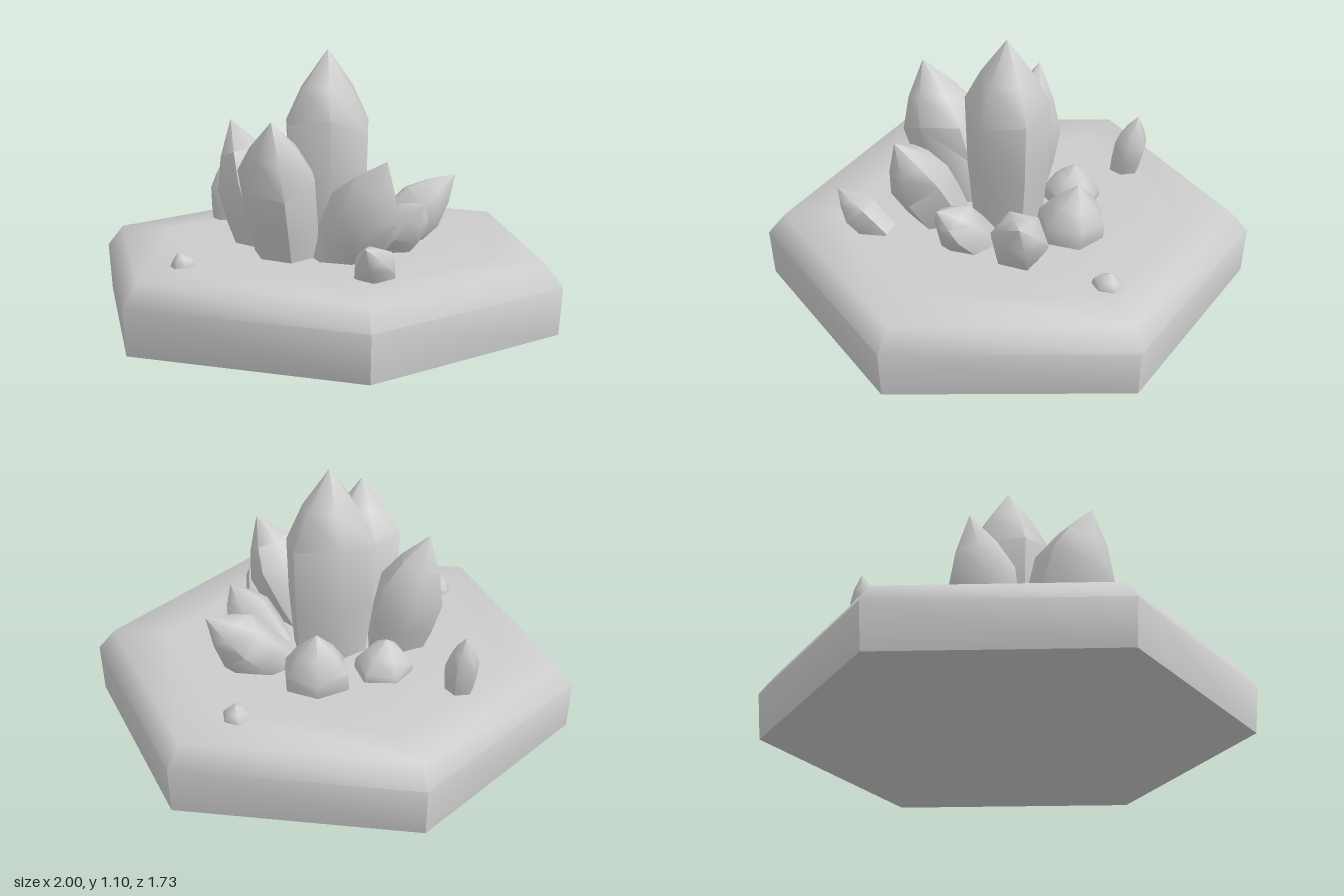
import * as THREE from 'three';
import { toCreasedNormals } from 'three/addons/utils/BufferGeometryUtils.js';

const GROUND = 0.27; // crystals start slightly under the slab's top

export function createModel() {
  const group = new THREE.Group();
  const material = new THREE.MeshStandardMaterial({ color: 0xcccccc });

  let seed = 7;
  const random = () => {
    seed = (seed * 16807) % 2147483647;
    return seed / 2147483647;
  };
  const jitter = (amount) => 1 + (random() - 0.5) * 2 * amount;

  function add(name, geometry) {
    const mesh = new THREE.Mesh(geometry, material);
    mesh.name = name;
    group.add(mesh);
    return mesh;
  }
  const profile = (pairs) => pairs.map(([r, y]) => new THREE.Vector2(r, y));

  // Hexagonal slab: upright sides, bevelled rim, slightly domed top
  const slab = new THREE.LatheGeometry(profile([
    [0, 0.005], [0.985, 0.005], [1, 0.2], [0.93, 0.287], [0.7, 0.298], [0.35, 0.302], [0, 0.303],
  ]), 6, Math.PI / 2);
  add('baseSlab', toCreasedNormals(slab, 1.0));

  // Six-sided crystal from a foot point to a tip; each side edge is uneven
  function crystal(name, foot, tip, radius, shoulder = 0.62, footScale = 0.78, turn = 0) {
    const start = new THREE.Vector3(foot[0], GROUND, foot[1]);
    const axis = new THREE.Vector3(...tip).sub(start);
    const length = axis.length();
    const rings = [
      [0, 0], [radius * footScale, 0],
      [radius * (footScale + 1) / 2 * 1.05, length * shoulder * 0.5],
      [radius, length * shoulder],
      [radius * 0.62, length * (shoulder + (1 - shoulder) * 0.48)],
      [0, length],
    ];
    const geometry = new THREE.LatheGeometry(profile(rings), 6, turn);
    const sides = Array.from({ length: 6 }, () => ({ r: jitter(0.09), y: jitter(0.09) }));
    const position = geometry.attributes.position;
    for (let i = 0; i < position.count; i++) {
      const ring = i % rings.length;
      const side = sides[Math.floor(i / rings.length) % 6];
      const lift = ring === 3 || ring === 4 ? 1 + (side.y - 1) * (ring === 3 ? 1 : 0.3) : 1;
      position.setXYZ(i, position.getX(i) * side.r, position.getY(i) * lift, position.getZ(i) * side.r);
    }
    const mesh = add(name, toCreasedNormals(geometry, 1.1));
    mesh.position.copy(start);
    mesh.quaternion.setFromUnitVectors(new THREE.Vector3(0, 1, 0), axis.normalize());
  }

  // Main cluster: tall centre crystal ringed by leaning ones
  crystal('centreCrystal', [0.015, 0], [0.01, 1.1, 0], 0.187, 0.63, 0.8, 0.4);
  crystal('frontCrystal', [-0.07, 0.24], [-0.06, 0.87, 0.44], 0.16, 0.6, 0.8, 0.5);
  crystal('rightCrystal', [-0.24, 0.08], [-0.39, 0.8, 0.07], 0.14, 0.53, 0.8, 0.2);
  crystal('frontLeftCrystal', [0.12, 0.22], [0.37, 0.72, 0.31], 0.135, 0.55, 0.8, 0.7);
  crystal('leftCrystal', [0.23, -0.01], [0.44, 0.51, 0.075], 0.1, 0.6, 0.85, 0.1);
  crystal('backLeftCrystal', [0.19, -0.15], [0.46, 0.555, -0.31], 0.115, 0.55, 0.85, 0.3);

  // Short, broad crystals behind
  crystal('backCrystal', [0.015, -0.3], [0.01, 0.53, -0.33], 0.135, 0.4, 0.95, 0.2);
  crystal('backRightCrystal', [-0.23, -0.16], [-0.25, 0.45, -0.18], 0.12, 0.42, 0.95, 0.6);

  // Outlying small crystals
  crystal('smallFrontCrystal', [0.36, 0.37], [0.38, 0.44, 0.59], 0.085, 0.5, 0.8, 0.3);
  crystal('smallRightCrystal', [-0.555, -0.25], [-0.58, 0.555, -0.31], 0.07, 0.55, 0.8, 0.8);

  // Pebble shards
  crystal('backShard', [0.28, -0.6], [0.28, 0.355, -0.62], 0.06, 0.45, 1, 0.3);
  crystal('frontShard', [-0.385, 0.55], [-0.4, 0.355, 0.57], 0.048, 0.45, 1, 0.9);

  return group;
}
